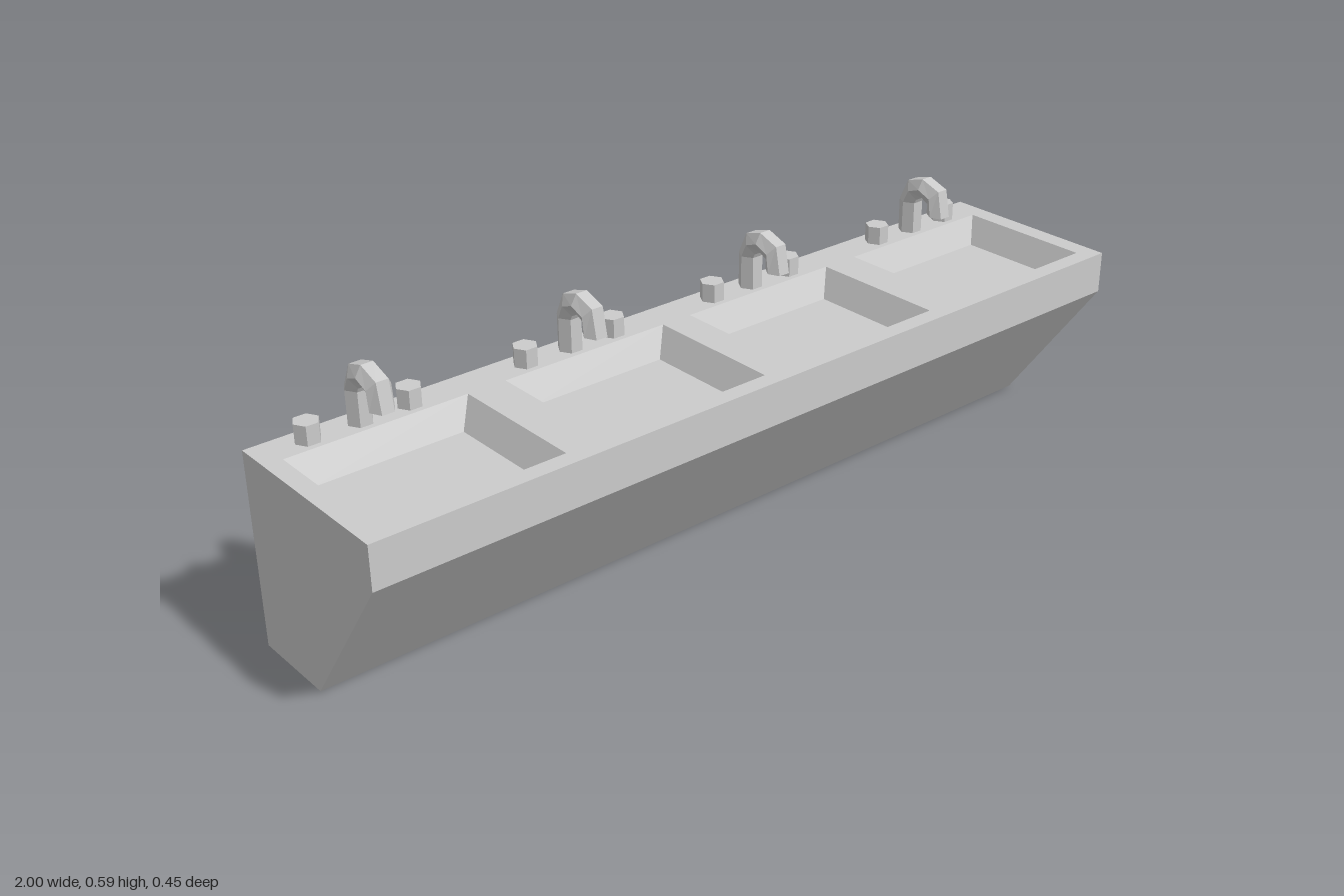
import * as THREE from 'three';

const TOP = 0.443, BACK = -0.225, FRONT = 0.225;
const thin = new THREE.MeshStandardMaterial({ color: 0xcccccc, flatShading: true, side: THREE.DoubleSide });
const solid = new THREE.MeshStandardMaterial({ color: 0xcccccc, flatShading: true });

function mesh(name, geometry, material) {
  const m = new THREE.Mesh(geometry, material);
  m.name = name;
  return m;
}

// Skin between consecutive rings with the same number of points
function loft(rings, closed, capEnds) {
  const n = rings[0].length, index = [];
  for (let r = 0; r < rings.length - 1; r++) {
    for (let i = 0; i < (closed ? n : n - 1); i++) {
      const a = r * n + i, b = r * n + (i + 1) % n;
      index.push(a, b, b + n, a, b + n, a + n);
    }
  }
  const last = (rings.length - 1) * n;
  for (let i = 1; i < n - 1 && capEnds; i++) {
    index.push(last, last + i, last + i + 1);
    if (capEnds === 'both') index.push(0, i + 1, i);
  }
  const g = new THREE.BufferGeometry();
  g.setAttribute('position', new THREE.Float32BufferAttribute(rings.flat(2), 3));
  g.setIndex(index);
  const flat = g.toNonIndexed();
  flat.computeVertexNormals();
  return flat;
}

const rect = (x0, x1, y, z0, z1) => [[x0, y, z0], [x0, y, z1], [x1, y, z1], [x1, y, z0]];

// Sloped basin: rim, then a smaller floor
function basin(cx) {
  const rim = rect(cx - 0.207, cx + 0.207, TOP, -0.143, 0.185);
  const floor = rect(cx - 0.17, cx + 0.17, TOP - 0.06, -0.11, 0.12);
  // Rings run from floor to rim seen from inside, so reverse them to face upward
  const g = loft([rim, floor], true, true);
  return mesh('basin', g, thin);
}

// Hooked six-sided spout; each section gives its outer and inner [z, y]
const spoutSections = [
  [-0.204, 0.415, -0.156, 0.415], [-0.204, 0.52, -0.156, 0.52],
  [-0.179, 0.573, -0.151, 0.53], [-0.133, 0.587, -0.133, 0.54],
  [-0.081, 0.569, -0.114, 0.53], [-0.068, 0.504, -0.115, 0.507],
];
function spout() {
  const rings = spoutSections.map(([zo, yo, zi, yi]) => {
    const ring = [];
    for (let i = 0; i < 6; i++) {
      const a = i * Math.PI / 3, s = Math.sin(a) / Math.sin(Math.PI / 3) / 2;
      ring.push([0.028 * Math.cos(a), (yo + yi) / 2 + s * (yo - yi), (zo + zi) / 2 + s * (zo - zi)]);
    }
    return ring;
  });
  return mesh('spout', loft(rings, true, 'both'), solid);
}

// Six-sided tap knob with corners on the x axis
function knob(x) {
  const g = new THREE.CylinderGeometry(0.028, 0.028, 0.057, 6);
  g.rotateY(Math.PI / 6);
  const m = mesh('knob', g, solid);
  m.position.set(x, 0.4575, -0.18);
  return m;
}

export function createModel() {
  const group = new THREE.Group();
  group.name = 'troughSink';
  const basins = [-0.752, -0.247, 0.243, 0.748];
  const taps = [-0.77, -0.262, 0.247, 0.768];

  // Countertop with four openings
  const top = new THREE.Shape([[-1, BACK], [1, BACK], [1, FRONT], [-1, FRONT]].map(([x, z]) => new THREE.Vector2(x, -z)));
  for (const cx of basins) {
    const corners = rect(cx - 0.207, cx + 0.207, 0, -0.143, 0.185);
    top.holes.push(new THREE.Path(corners.map(([x, , z]) => new THREE.Vector2(x, -z))));
  }
  const counter = mesh('countertop', new THREE.ShapeGeometry(top).rotateX(-Math.PI / 2), thin);
  counter.position.y = TOP;
  group.add(counter);

  // Front apron, sloped underside and bottom; the back stays open
  const profile = [[FRONT, TOP], [FRONT, 0.345], [-0.021, 0], [BACK, 0]];
  const strip = profile.map(([z, y]) => [[-1, y, z], [1, y, z]]);
  group.add(mesh('frontPanel', loft(strip.reverse(), false), thin));

  // End panels
  for (const side of [-1, 1]) {
    const pts = [...profile, [BACK, TOP]].map(([z, y]) => new THREE.Vector2(-side * z, y));
    const end = mesh(side > 0 ? 'leftEnd' : 'rightEnd',
      new THREE.ShapeGeometry(new THREE.Shape(pts)).rotateY(side * Math.PI / 2), thin);
    end.position.x = side;
    group.add(end);
  }

  // Basins, each with a spout and two knobs
  basins.forEach((cx, i) => {
    group.add(basin(cx));
    const tap = new THREE.Group();
    tap.name = 'tap';
    tap.position.x = taps[i];
    tap.add(spout(), knob(-0.115), knob(0.112));
    group.add(tap);
  });
  return group;
}
